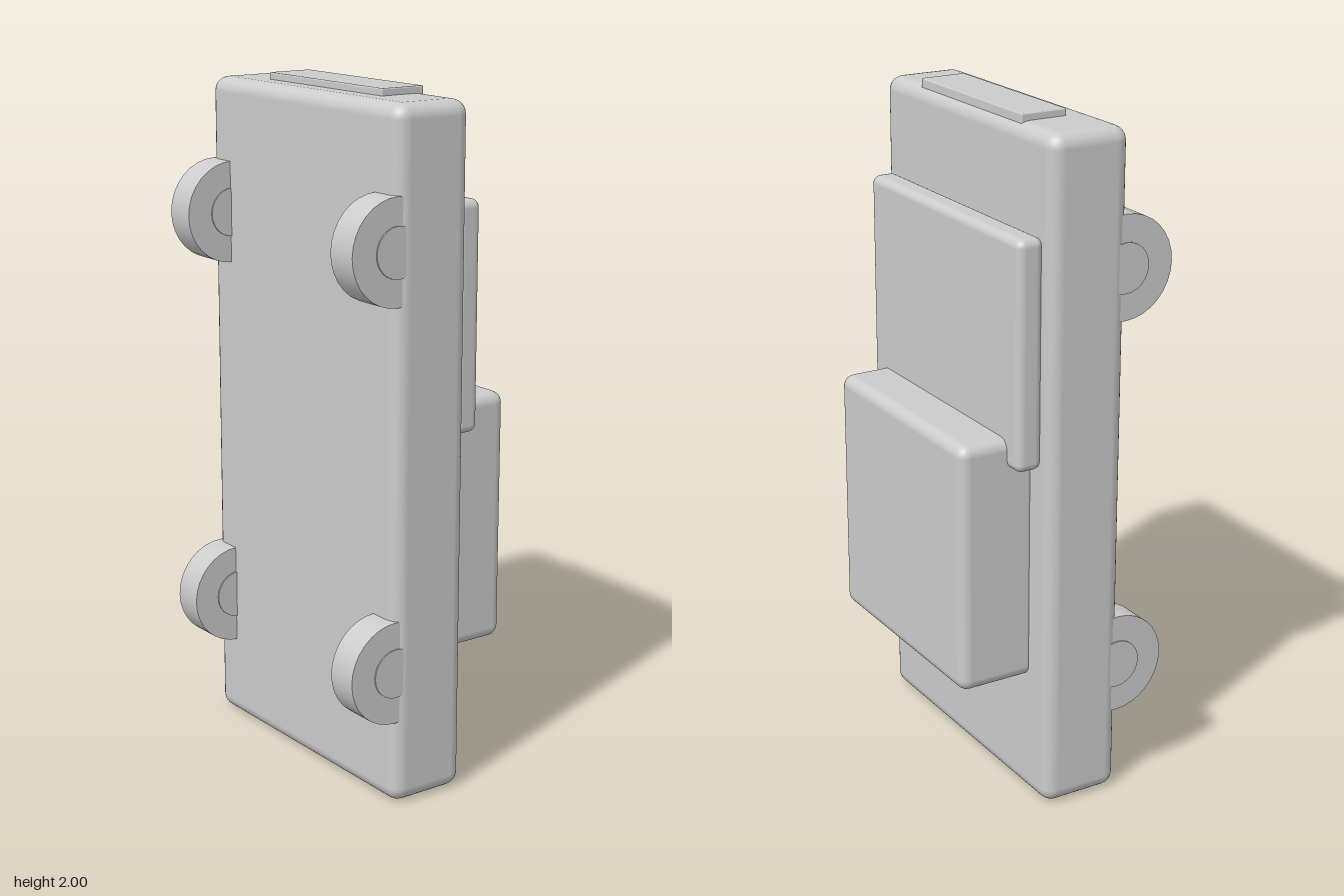
import * as THREE from 'three';
import { RoundedBoxGeometry } from 'three/addons/geometries/RoundedBoxGeometry.js';

export function createModel() {
  const model = new THREE.Group();
  model.name = 'toyCar';
  const material = new THREE.MeshStandardMaterial({ color: 0xcccccc });

  // Rounded block given by its width and its y and z extents
  function block(name, width, [y0, y1], [z0, z1], radius) {
    const mesh = new THREE.Mesh(new RoundedBoxGeometry(width, y1 - y0, z1 - z0, 3, radius), material);
    mesh.name = name;
    mesh.position.set(0, (y0 + y1) / 2, (z0 + z1) / 2);
    model.add(mesh);
  }

  // Car standing on its tail: roof towards -z, nose at the top
  block('body', 0.92, [0, 1.98], [-0.085, 0.16], 0.042);
  block('hood', 0.834, [1.04, 1.7], [-0.16, -0.08], 0.024);
  block('cabin', 0.72, [0.38, 1.125], [-0.306, -0.06], 0.034);
  block('grille', 0.545, [1.96, 2], [-0.065, 0.075], 0.004);

  // Wheels half sunk in the underside, each with a slightly wider hub
  const tire = new THREE.CylinderGeometry(0.15, 0.15, 0.098, 32).rotateZ(Math.PI / 2);
  const hub = new THREE.CylinderGeometry(0.072, 0.072, 0.106, 24).rotateZ(Math.PI / 2);
  for (const [end, y] of [['front', 1.59], ['rear', 0.4]]) {
    for (const [side, s] of [['Left', 1], ['Right', -1]]) {
      const wheel = new THREE.Group();
      wheel.name = `${end}${side}Wheel`;
      wheel.position.set(s * 0.405, y, 0.155);
      const tireMesh = new THREE.Mesh(tire, material);
      tireMesh.name = 'tire';
      const hubMesh = new THREE.Mesh(hub, material);
      hubMesh.name = 'hub';
      wheel.add(tireMesh, hubMesh);
      model.add(wheel);
    }
  }
  return model;
}
